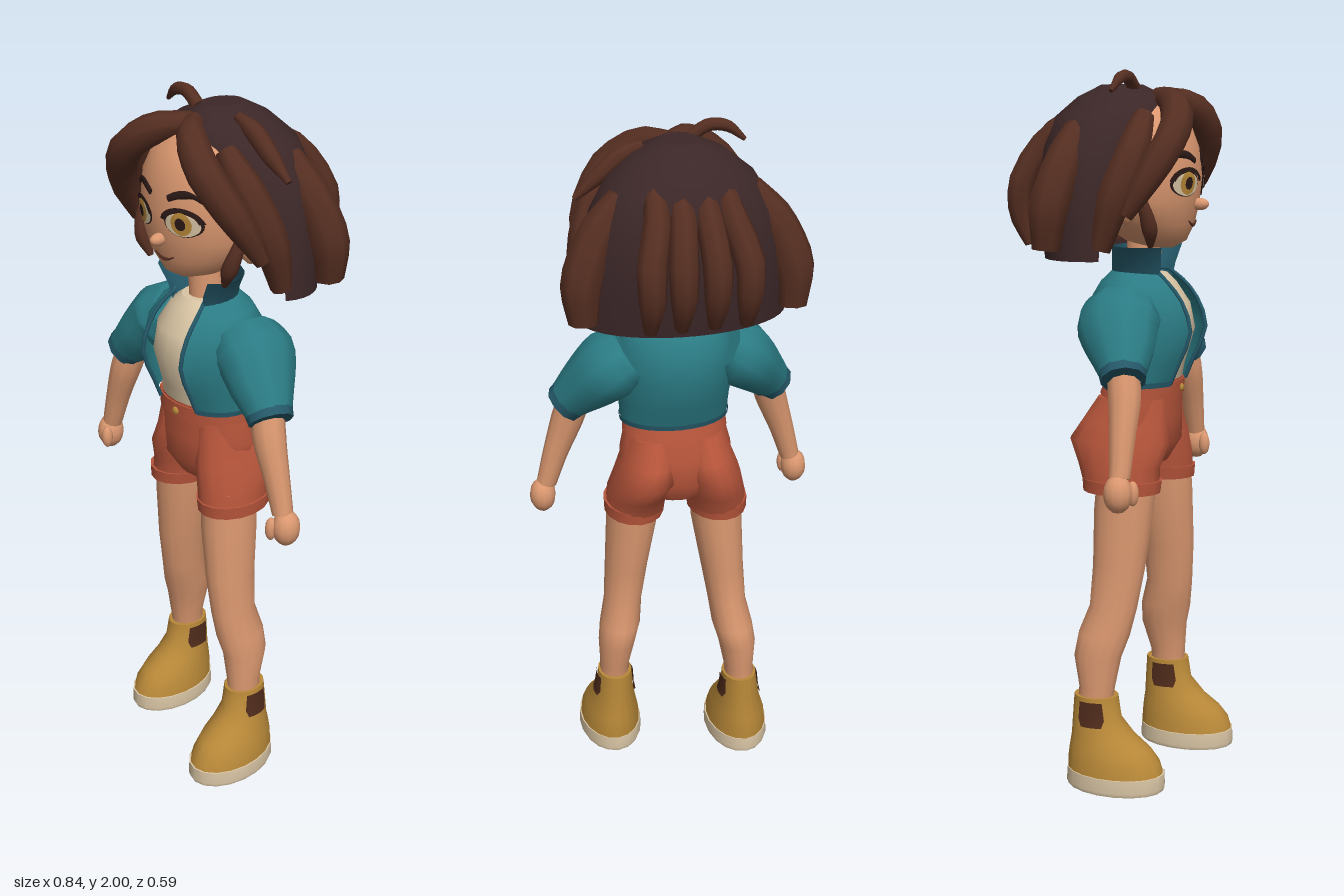
import * as THREE from 'three';

const mat = (name, color, side = THREE.FrontSide) => {
  const m = new THREE.MeshStandardMaterial({ color, side });
  m.name = name;
  return m;
};

// Skin a surface over a stack of point rings, optionally closing both ends
function skinRings(rings, closed, caps) {
  const pos = [], idx = [];
  const m = rings[0].length, seg = closed ? m : m - 1;
  rings.forEach(r => r.forEach(p => pos.push(p.x, p.y, p.z)));
  for (let i = 0; i < rings.length - 1; i++) for (let j = 0; j < seg; j++) {
    const k = (j + 1) % m, a = i * m + j, b = i * m + k, c = b + m, d = a + m;
    idx.push(a, b, c, a, c, d);
  }
  const cap = (ring, flip) => {
    const base = pos.length / 3, c = new THREE.Vector3();
    ring.forEach(p => { c.addScaledVector(p, 1 / m); pos.push(p.x, p.y, p.z); });
    pos.push(c.x, c.y, c.z);
    for (let j = 0; j < seg; j++) {
      const a = base + j, b = base + (j + 1) % m;
      idx.push(base + m, flip ? b : a, flip ? a : b);
    }
  };
  if (caps[0]) cap(rings[0], true);
  if (caps[1]) cap(rings[rings.length - 1], false);
  const g = new THREE.BufferGeometry();
  g.setAttribute('position', new THREE.Float32BufferAttribute(pos, 3));
  g.setIndex(idx);
  g.computeVertexNormals();
  return g;
}

// Upright loft, bottom to top: [x, y, z, rx, rz, opening half-angle at the front]
function loft(rows, n = 16, caps = [1, 1], turn = 0) {
  const open = rows[0].length > 5;
  const rings = rows.map(([x, y, z, rx, rz, a = 0]) =>
    Array.from({ length: open ? n + 1 : n }, (_, j) => {
      const t = a + (2 * Math.PI - 2 * a) * j / n + turn;
      return new THREE.Vector3(x + rx * Math.sin(t), y, z + rz * Math.cos(t));
    }));
  return skinRings(rings, !open, caps);
}

// Tapered tube through points; radii are numbers or [depth, width] pairs
function limb(points, radii, n = 8, steps = 10) {
  const curve = new THREE.CatmullRomCurve3(points.map(p => new THREE.Vector3(...p)));
  const rings = [];
  for (let i = 0; i <= steps; i++) {
    const t = i / steps, f = t * (radii.length - 1), k = Math.min(Math.floor(f), radii.length - 2);
    const [a, b] = [0, 1].map(q => {
      const r0 = radii[k], r1 = radii[k + 1];
      return THREE.MathUtils.lerp(r0[q] ?? r0, r1[q] ?? r1, f - k);
    });
    const p = curve.getPoint(t), d = curve.getTangent(t);
    const u = new THREE.Vector3(0, 0, 1).addScaledVector(d, -d.z).normalize();
    const v = new THREE.Vector3().crossVectors(d, u);
    rings.push(Array.from({ length: n }, (_, j) => {
      const w = j / n * Math.PI * 2;
      return p.clone().addScaledVector(u, a * Math.cos(w)).addScaledVector(v, b * Math.sin(w));
    }));
  }
  return skinRings(rings, true, [1, 1]);
}

const HEAD = [
  [0, 1.525, 0.11, 0.03, 0.04], [0, 1.545, 0.1, 0.085, 0.085], [0, 1.59, 0.075, 0.145, 0.13],
  [0, 1.65, 0.06, 0.178, 0.158], [0, 1.72, 0.058, 0.186, 0.167], [0, 1.8, 0.055, 0.182, 0.16],
  [0, 1.87, 0.05, 0.145, 0.14], [0, 1.91, 0.045, 0.09, 0.095], [0, 1.93, 0.045, 0.03, 0.03],
];
// Depth of the face surface at a given x, y
function faceZ(x, y) {
  const i = Math.max(0, HEAD.findIndex((r, k) => k < HEAD.length - 1 && y <= HEAD[k + 1][1]));
  const f = (y - HEAD[i][1]) / (HEAD[i + 1][1] - HEAD[i][1]);
  const [z, rx, rz] = [2, 3, 4].map(q => THREE.MathUtils.lerp(HEAD[i][q], HEAD[i + 1][q], f));
  return z + rz * Math.sqrt(Math.max(0, 1 - (x / rx) ** 2));
}
// Lay a flat shape onto the face
function onFace(g, x, y, sx, sy, lift) {
  g.scale(sx, sy, 1).translate(x, y, 0);
  const p = g.attributes.position;
  for (let i = 0; i < p.count; i++) p.setZ(i, faceZ(p.getX(i), p.getY(i)) + lift);
  g.computeVertexNormals();
  return g;
}

export function createModel() {
  const root = new THREE.Group();
  const D = THREE.DoubleSide;
  const skin = mat('skin', 0xdb9870), teal = mat('jacket teal', 0x2b7b84, D),
    darkTeal = mat('dark teal', 0x25596a, D), rust = mat('shorts rust', 0xb5543a),
    ochre = mat('ochre', 0xb88838), cream = mat('cream', 0xdac6a5),
    hair = mat('hair brown', 0x552e21), under = mat('deep hair brown', 0x3c2728, D),
    dark = mat('lash dark', 0x2a1916, D), patch = mat('boot patch brown', 0x4d2a1a, D);
  const add = (name, g, m) => {
    const mesh = new THREE.Mesh(g, m);
    mesh.name = name;
    root.add(mesh);
    return mesh;
  };
  const ball = (name, p, s, m) => {
    const b = add(name, new THREE.SphereGeometry(1, 12, 8), m);
    b.position.set(...p);
    b.scale.set(...s);
    return b;
  };

  // Head, neck and face
  add('head', loft(HEAD, 32), skin);
  add('neck', loft([[0, 1.38, 0.06, 0.06, 0.06], [0, 1.46, 0.06, 0.046, 0.05], [0, 1.58, 0.07, 0.044, 0.05]]), skin);
  ball('nose', [0, 1.645, 0.225], [0.017, 0.017, 0.027], skin);
  add('mouth', limb([-0.036, -0.015, 0, 0.015, 0.036].map(x => {
    const y = 1.588 + 9 * x * x;
    return [x, y, faceZ(x, y) + 0.002];
  }), [0.002, 0.005, 0.002], 6), hair);

  // Torso and shirt
  add('shirt', loft([[0, 1.13, 0.07, 0.14, 0.095], [0, 1.2, 0.075, 0.13, 0.105], [0, 1.3, 0.075, 0.14, 0.135],
    [0, 1.37, 0.07, 0.135, 0.125], [0, 1.43, 0.065, 0.1, 0.09], [0, 1.455, 0.06, 0.065, 0.07]], 20), cream);

  // Cropped open jacket with flared collar
  const jacket = [[0, 1.15, 0.07, 0.155, 0.11, 0.52], [0, 1.21, 0.072, 0.16, 0.135, 0.5],
    [0, 1.3, 0.075, 0.172, 0.168, 0.48], [0, 1.38, 0.065, 0.168, 0.15, 0.48],
    [0, 1.43, 0.06, 0.14, 0.115, 0.55], [0, 1.46, 0.06, 0.09, 0.085, 0.75]];
  add('jacket', loft(jacket, 24, [0, 0]), teal);
  add('collar', loft([[0, 1.43, 0.065, 0.085, 0.09, 0.8], [0, 1.48, 0.07, 0.1, 0.095, 0.8],
    [0, 1.53, 0.08, 0.135, 0.1, 0.85]], 18, [0, 0]), darkTeal);
  add('jacketHem', loft([[0, 1.145, 0.07, 0.158, 0.113, 0.52], [0, 1.16, 0.07, 0.16, 0.116, 0.52]], 24, [0, 0]), darkTeal);

  // Shorts: hips and waistband
  add('hips', loft([[0, 0.92, 0.045, 0.1, 0.09], [0, 0.98, 0.045, 0.165, 0.125], [0, 1.05, 0.05, 0.165, 0.12],
    [0, 1.11, 0.06, 0.15, 0.112], [0, 1.16, 0.07, 0.143, 0.102]], 20), rust);
  add('waistband', loft([[0, 1.115, 0.061, 0.154, 0.116], [0, 1.155, 0.069, 0.149, 0.108]], 20), rust);
  ball('button', [0, 1.132, 0.177], [0.012, 0.012, 0.007], ochre);

  // Hair cap: a bob, open at the face
  add('hairCap', loft([[0, 1.5, -0.03, 0.285, 0.17, 1.25], [0, 1.6, -0.035, 0.282, 0.18, 1.2],
    [0, 1.7, -0.04, 0.272, 0.18, 1.05], [0, 1.8, -0.03, 0.245, 0.18, 0.8], [0, 1.88, -0.02, 0.195, 0.165, 0.4],
    [0, 1.935, 0, 0.125, 0.125, 0], [0, 1.968, 0, 0.05, 0.06, 0]], 24, [0, 1]), under);
  // Four swept back locks
  for (const [x0, x1] of [[-0.09, -0.125], [-0.03, -0.04], [0.035, 0.048], [0.1, 0.13]])
    add('backLock', limb([[x0, 1.89, -0.1], [x0, 1.83, -0.18], [x1, 1.71, -0.248], [x1, 1.62, -0.255],
      [x1, 1.535, -0.225]], [0.02, 0.036, 0.04, 0.036, 0.018]), hair);
  add('strayTuft', limb([[-0.04, 1.955, 0.05], [-0.09, 1.985, 0.045], [-0.14, 1.98, 0.04], [-0.185, 1.945, 0.03]],
    [0.018, 0.018, 0.016, 0.006]), hair);
  add('sideTuft', limb([[0.09, 1.95, 0.03], [0.15, 1.925, 0.03], [0.21, 1.875, 0.028], [0.275, 1.82, 0.025]],
    [0.014, 0.026, 0.024, 0.008]), hair);

  for (const s of [1, -1]) {
    const side = s > 0 ? 'left' : 'right';
    const M = pts => pts.map(([x, y, z]) => [s * x, y, z]);
    const part = (name, pts, radii, m, n, steps) => add(side + name, limb(M(pts), radii, n, steps), m);

    // Eyes and brows
    const ex = s * 0.077, ey = 1.703;
    const disc = () => new THREE.RingGeometry(0.0001, 1, 24, 4);
    add(side + 'EyeRim', onFace(disc(), ex, ey, 0.053, 0.036, 0.003), dark);
    add(side + 'EyeWhite', onFace(disc(), ex, ey - 0.003, 0.047, 0.031, 0.005), cream);
    add(side + 'Iris', onFace(disc(), ex, ey, 0.028, 0.031, 0.007), ochre);
    add(side + 'Pupil', onFace(disc(), ex, ey, 0.014, 0.017, 0.009), dark);
    add(side + 'Lash', onFace(new THREE.RingGeometry(0.75, 1, 20, 2, 0.15, Math.PI - 0.3), ex, ey, 0.06, 0.043, 0.0085), dark);
    part('Brow', [0.034, 0.065, 0.1, 0.13].map((x, i) => {
      const y = 1.763 + [0, 0.014, 0.016, -0.004][i];
      return [x, y, faceZ(x, y) + 0.003];
    }), [[0.004, 0.009], [0.004, 0.011], [0.004, 0.003]], dark);

    // Ears
    ball(side + 'Ear', [s * 0.192, 1.64, 0.075], [0.028, 0.045, 0.03], skin);

    // Hair locks around the face and sides
    part('Bang', [[0, 1.935, 0.1], [0.07, 1.915, 0.17], [0.155, 1.85, 0.2], [0.225, 1.74, 0.16], [0.25, 1.62, 0.09]],
      [0.025, 0.042, 0.046, 0.042, 0.022], hair);
    part('TempleLock', [[0.12, 1.88, 0.1], [0.2, 1.8, 0.1], [0.245, 1.67, 0.06], [0.25, 1.53, 0.02]],
      [0.03, 0.045, 0.05, 0.03], hair);
    part('SideLock', [[0.17, 1.85, -0.07], [0.235, 1.76, -0.085], [0.285, 1.64, -0.11], [0.285, 1.53, -0.12]],
      [0.035, 0.055, 0.058, 0.04], hair);
    part('Sideburn', [[0.198, 1.7, 0.1], [0.192, 1.64, 0.125], [0.175, 1.585, 0.135], [0.15, 1.535, 0.13]],
      [0.01, 0.018, 0.024, 0.008], hair);

    // Jacket edge, sleeve and cuff
    part('JacketEdge', jacket.map(([, y, z, rx, rz, a]) => [rx * Math.sin(a), y, z + rz * Math.cos(a)]),
      [0.006, 0.006], darkTeal, 6);
    part('Sleeve', [[0.13, 1.36, 0.045], [0.185, 1.325, 0.052], [0.245, 1.265, 0.08], [0.305, 1.2, 0.105]],
      [[0.1, 0.085], [0.118, 0.1], [0.095, 0.08], [0.06, 0.058]], teal, 10);
    part('Cuff', [[0.277, 1.23, 0.093], [0.31, 1.193, 0.107]], [[0.072, 0.066], [0.062, 0.06]], darkTeal, 10, 2);

    // Forearm, hand and thumb
    part('Forearm', [[0.28, 1.22, 0.095], [0.305, 1.14, 0.108], [0.34, 1.04, 0.113], [0.37, 0.94, 0.116]],
      [0.047, 0.046, 0.036, 0.029], skin, 10);
    ball(side + 'Hand', [s * 0.383, 0.902, 0.115], [0.038, 0.052, 0.04], skin);
    ball(side + 'Thumb', [s * 0.358, 0.9, 0.148], [0.016, 0.034, 0.017], skin);

    // Shorts leg and rolled hem; the left leg steps forward
    const step = s > 0 ? 0 : 1, hz = 0.07 - 0.03 * step;
    add(side + 'ShortsLeg', loft([[s * 0.12, 0.855, hz, 0.085, 0.108], [s * 0.113, 0.92, hz - 0.01, 0.086, 0.118],
      [s * 0.096, 0.99, 0.025, 0.085, 0.147], [s * 0.084, 1.04, 0.035, 0.078, 0.125],
      [s * 0.072, 1.11, 0.055, 0.068, 0.1]], 16), rust);
    add(side + 'ShortsHem', loft([[s * 0.122, 0.85, hz, 0.087, 0.112], [s * 0.12, 0.885, hz, 0.09, 0.115]], 16), rust);

    // Leg
    const legs = [[0.19, 0.22, 0.087, 0.044, 0.05], [0.187, 0.29, 0.087, 0.045, 0.053], [0.18, 0.38, 0.077, 0.056, 0.07],
      [0.168, 0.44, 0.085, 0.061, 0.076], [0.155, 0.52, 0.1, 0.057, 0.07], [0.142, 0.64, 0.1, 0.064, 0.077],
      [0.125, 0.8, 0.09, 0.075, 0.086], [0.118, 0.92, 0.085, 0.075, 0.085]];
    add(side + 'Leg', loft(legs.map(([x, y, z, rx, rz]) =>
      [s * x, y, z - step * (0.03 + 0.11 * (0.92 - y)), rx, rz]), 14), skin);

    // Boot, sole and side patches
    const bz = -0.1 * step;
    const B = rows => rows.map(([x, y, z, ...r]) => [s * x, y, z + bz, ...r]);
    add(side + 'Boot', loft(B([[0.196, 0.04, 0.146, 0.092, 0.142], [0.196, 0.08, 0.14, 0.088, 0.136],
      [0.194, 0.115, 0.128, 0.079, 0.12], [0.192, 0.15, 0.108, 0.069, 0.094],
      [0.19, 0.2, 0.088, 0.058, 0.071], [0.188, 0.265, 0.085, 0.052, 0.064]]), 18), ochre);
    add(side + 'Sole', loft(B([[0.196, 0, 0.146, 0.092, 0.142], [0.196, 0.012, 0.146, 0.097, 0.146],
      [0.196, 0.05, 0.146, 0.095, 0.144]]), 18), cream);
    for (const turn of [1, -1])
      add(side + 'BootPatch', loft(B([[0.19, 0.185, 0.09, 0.066, 0.08, 2.75], [0.19, 0.205, 0.088, 0.061, 0.074, 2.6],
        [0.188, 0.255, 0.085, 0.057, 0.07, 2.65]]), 6, [0, 0], turn * Math.PI / 2), patch);
  }
  return root;
}
